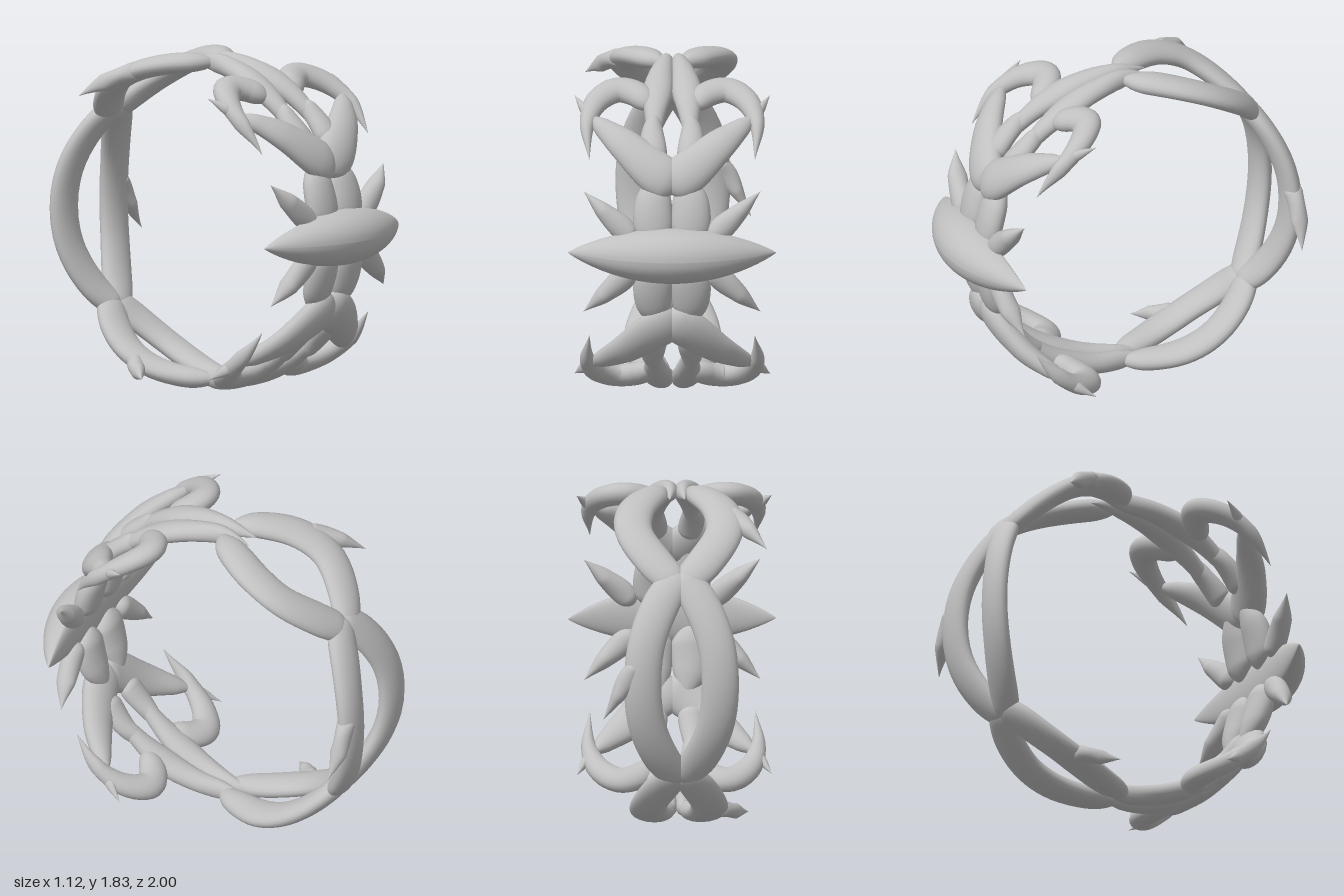
import * as THREE from 'three';

const metal = new THREE.MeshStandardMaterial({ color: 0xc0c0c0 });
metal.name = 'silver grey';

const R = 0.865, CY = 0.915, CZ = -0.08; // band radius and centre
const rad = THREE.MathUtils.degToRad;

// Tapered limb wrapped round the band.
// pts: [x, angle from front in degrees, half width, half thickness, radial offset]
function limb(pts, { side = 1, up = 1, capStart = 0.08, capEnd = 0.02 } = {}) {
  const path = new THREE.CatmullRomCurve3(pts.map(p => new THREE.Vector3(side * p[0], up * rad(p[1]) * R, 0)));
  const size = new THREE.CatmullRomCurve3(pts.map(p => new THREE.Vector3(p[2], p[3] ?? 0.055, p[4] ?? 0)), false, 'catmullrom', 0.4);
  const N = 40, M = 20, pos = [], idx = [];
  const cap = (u, c) => (u >= c ? 1 : Math.sqrt(Math.max(0, 1 - (1 - u / c) ** 2)));
  for (let i = 0; i <= N; i++) {
    const u = (1 - Math.cos((Math.PI * i) / N)) / 2;
    const c = path.getPoint(u), t = path.getTangent(u), s = size.getPoint(u);
    const k = Math.max(0.01, cap(u, capStart) * cap(1 - u, capEnd));
    const hw = Math.max(0.001, s.x) * k;
    const ht = Math.max(0.001, Math.min(s.y, s.x * 1.2)) * k;
    for (let j = 0; j < M; j++) {
      const q = (j / M) * Math.PI * 2;
      const l = Math.cos(q) * hw, r = R + s.z + Math.sin(q) * ht;
      const a = (c.y - t.x * l) / R;
      pos.push(c.x + t.y * l, CY + r * Math.sin(a), CZ + r * Math.cos(a));
      if (i < N) {
        const n = (j + 1) % M, A = i * M;
        idx.push(A + j, A + M + j, A + n, A + n, A + M + j, A + M + n);
      }
    }
  }
  // close both ends
  for (let j = 1; j < M - 1; j++) idx.push(0, j, j + 1, N * M, N * M + j + 1, N * M + j);
  const g = new THREE.BufferGeometry();
  g.setAttribute('position', new THREE.Float32BufferAttribute(pos, 3));
  g.setIndex(idx);
  g.computeVertexNormals();
  return g;
}

// Long pointed front piece, domed in front, shallow behind, bowed backwards
function spindle() {
  const prof = [];
  for (let i = 0; i <= 48; i++) {
    const v = -Math.cos((Math.PI * i) / 48);
    prof.push(new THREE.Vector2(Math.max(0, 0.15 * (1 - v * v) ** 0.9), v * 0.56));
  }
  const g = new THREE.LatheGeometry(prof, 40);
  g.rotateZ(-Math.PI / 2);
  const p = g.attributes.position;
  for (let i = 0; i < p.count; i++) {
    const x = p.getX(i), z = p.getZ(i), v = x / 0.56;
    p.setXYZ(i, x, p.getY(i) + CY, 0.82 - 0.075 * v * v + z * (z > 0 ? 1.2 : 0.35));
  }
  g.computeVertexNormals();
  return g;
}

export function createModel() {
  const model = new THREE.Group();
  const add = (name, geo) => {
    const m = new THREE.Mesh(geo, metal);
    m.name = name;
    model.add(m);
  };

  add('frontSpindle', spindle());

  // Parts repeated left/right and top/bottom
  for (const side of [1, -1]) for (const up of [1, -1]) {
    const o = { side, up };
    add('frontLobe', limb([[0.09, 3, 0.07, 0.055], [0.1, 10, 0.105, 0.065], [0.1, 18, 0.1, 0.065], [0.07, 29, 0.06, 0.05]],
      { ...o, capStart: 0.3, capEnd: 0.3 }));
    add('spindleLeaf', limb([[0.2, 5, 0.05], [0.27, 9.5, 0.065], [0.36, 15, 0.048], [0.475, 22.5, 0.001]], { ...o, capStart: 0.2 }));
    add('branchArm', limb([[-0.04, 24, 0.1, 0.06, 0.02], [0.08, 28.5, 0.115, 0.07, 0.035], [0.25, 38.5, 0.09, 0.06, 0.035],
      [0.37, 46.5, 0.055, 0.045, 0.015], [0.435, 51.5, 0.015, 0.02, 0]], { ...o, capStart: 0.15, capEnd: 0.06 }));
    add('hook', limb([[0.12, 56, 0.06], [0.19, 63, 0.077, 0.06], [0.29, 65.5, 0.08, 0.06], [0.395, 60, 0.068, 0.055],
      [0.455, 49, 0.042, 0.045], [0.445, 34, 0.001]], { ...o, capStart: 0.14 }));
    add('hookThorn', limb([[0.44, 52, 0.02], [0.47, 55, 0.026, 0.03], [0.525, 62.5, 0.001]], o));
    add('innerLobe', limb([[0.09, 32, 0.06, 0.05, 0.01], [0.1, 37, 0.072, 0.055, 0.015], [0.105, 45, 0.058, 0.05, 0.01],
      [0.085, 56, 0.005]], { ...o, capStart: 0.25 }));
    add('centreLeaf', limb([[0.1, 38, 0.02, 0.03], [0.095, 50, 0.05, 0.045], [0.08, 64, 0.08], [0.06, 76, 0.065],
      [0.035, 88, 0.04], [0.04, 98, 0.001]], o));
  }

  // Open loops of the band: upper, lower and back
  for (const side of [1, -1]) {
    add('upperLoop', limb([[0.05, 86, 0.02, 0.03], [0.13, 94, 0.085], [0.23, 108, 0.102], [0.24, 121, 0.102],
      [0.13, 135, 0.1], [0, 145, 0.08]], { side, capStart: 0.1, capEnd: 0.1 }));
    add('lowerLoop', limb([[0.04, 86, 0.03, 0.03], [0.09, 95, 0.08], [0.155, 109, 0.1], [0.16, 121, 0.1],
      [0.1, 134, 0.1], [0, 145, 0.08]], { side, up: -1, capStart: 0.1, capEnd: 0.1 }));
    add('backLoop', limb([[-0.01, 139, 0.08], [0.1, 150, 0.1], [0.195, 168, 0.1], [0.195, 192, 0.1],
      [0.1, 210, 0.1], [-0.01, 221, 0.08]], { side, capStart: 0.08, capEnd: 0.08 }));
  }

  // Single thorns on the loops
  add('upperThorn', limb([[-0.28, 109, 0.04], [-0.34, 116, 0.055, 0.045], [-0.47, 129, 0.001]], { capStart: 0.2 }));
  add('backThorn', limb([[0.24, 172, 0.04], [0.3, 179, 0.055, 0.045], [0.42, 193, 0.001]], { capStart: 0.2 }));
  add('lowerThorn', limb([[-0.21, -116, 0.035], [-0.28, -110, 0.045, 0.04], [-0.38, -102, 0.001]], { capStart: 0.2 }));

  return model;
}
